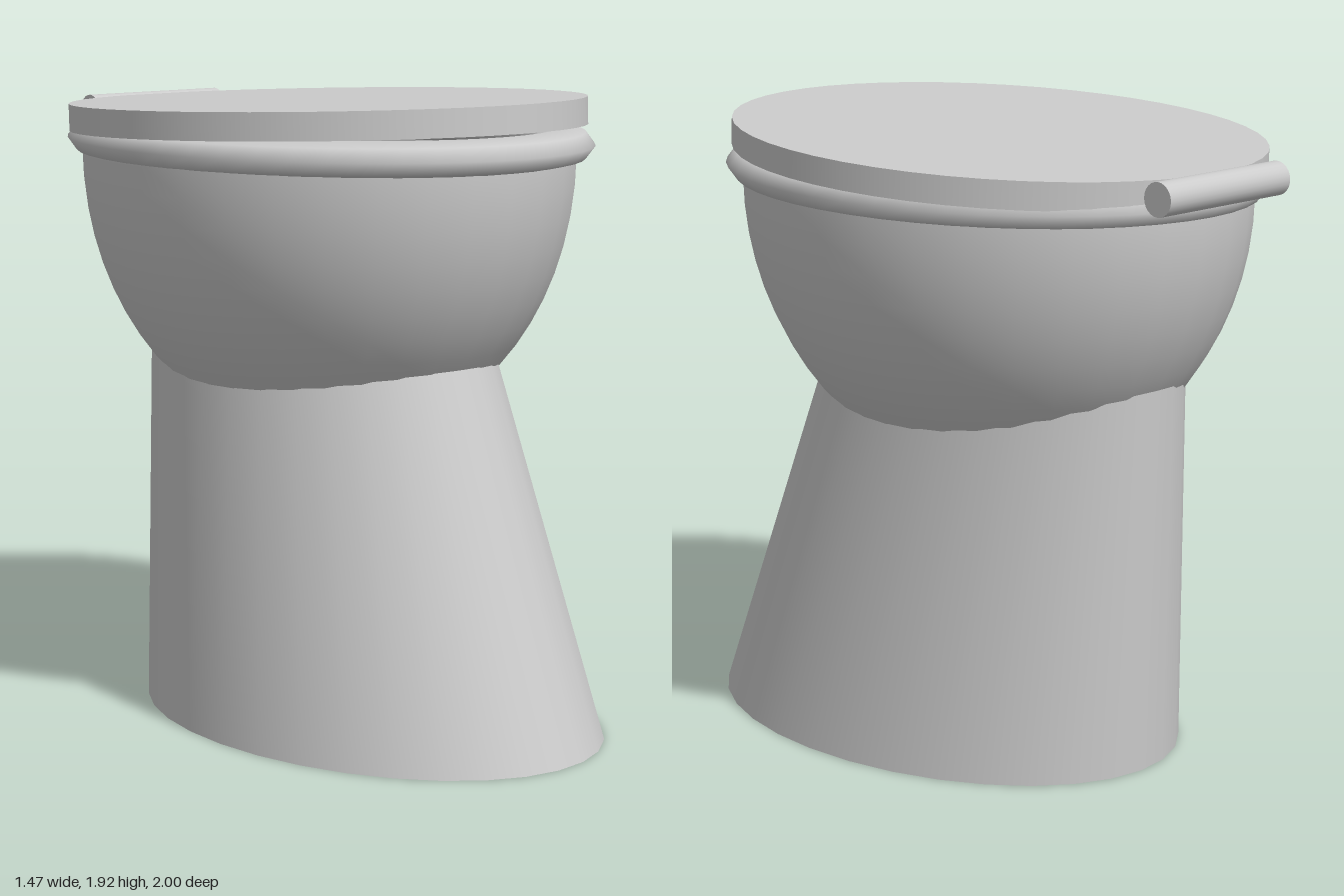
import * as THREE from 'three';

export function createModel() {
  const group = new THREE.Group();
  const material = new THREE.MeshStandardMaterial({ color: 0xcccccc, side: THREE.DoubleSide });
  const add = (name, geometry, x, y, z) => {
    const mesh = new THREE.Mesh(geometry, material);
    mesh.name = name;
    mesh.position.set(x, y, z);
    group.add(mesh);
    return mesh;
  };

  // Pedestal: an oval cylinder narrowing and leaning back towards the top
  const height = 1.25;
  const foot = new THREE.CylinderGeometry(0.735, 1, height, 32);
  foot.scale(0.59, 1, 0.845);
  foot.translate(0, height / 2, 0);
  // Shear so the front slopes strongly while the back stays nearly upright
  foot.applyMatrix4(new THREE.Matrix4().set(
    1, 0, 0, 0,
    0, 1, 0, 0,
    0, -0.267 / height, 1, 0.155,
    0, 0, 0, 1));
  add('pedestal', foot, 0, 0, 0);

  // Bowl: open lower half of a stretched sphere
  const bowl = new THREE.SphereGeometry(1, 32, 16, 0, Math.PI * 2, Math.PI / 2, Math.PI / 2);
  bowl.scale(0.7, 0.9, 0.84);
  add('bowl', bowl, 0, 1.73, -0.06);

  // Seat: flattened oval ring resting on the bowl
  const seat = new THREE.TorusGeometry(0.88, 0.12, 8, 48);
  seat.rotateX(Math.PI / 2);
  seat.scale(0.735, 0.46, 0.905);
  add('seat', seat, 0, 1.769, -0.055);

  // Lid: oval disc tilted slightly up at the front
  const disc = new THREE.CylinderGeometry(1, 1, 0.083, 48);
  disc.scale(0.735, 1, 0.875);
  add('lid', disc, 0, 1.848, -0.065).rotation.x = -0.036;

  // Hinge: round bar across the back
  const bar = new THREE.CylinderGeometry(0.05, 0.05, 0.51, 24);
  bar.rotateZ(Math.PI / 2);
  add('hinge', bar, 0, 1.815, -0.95);

  return group;
}
